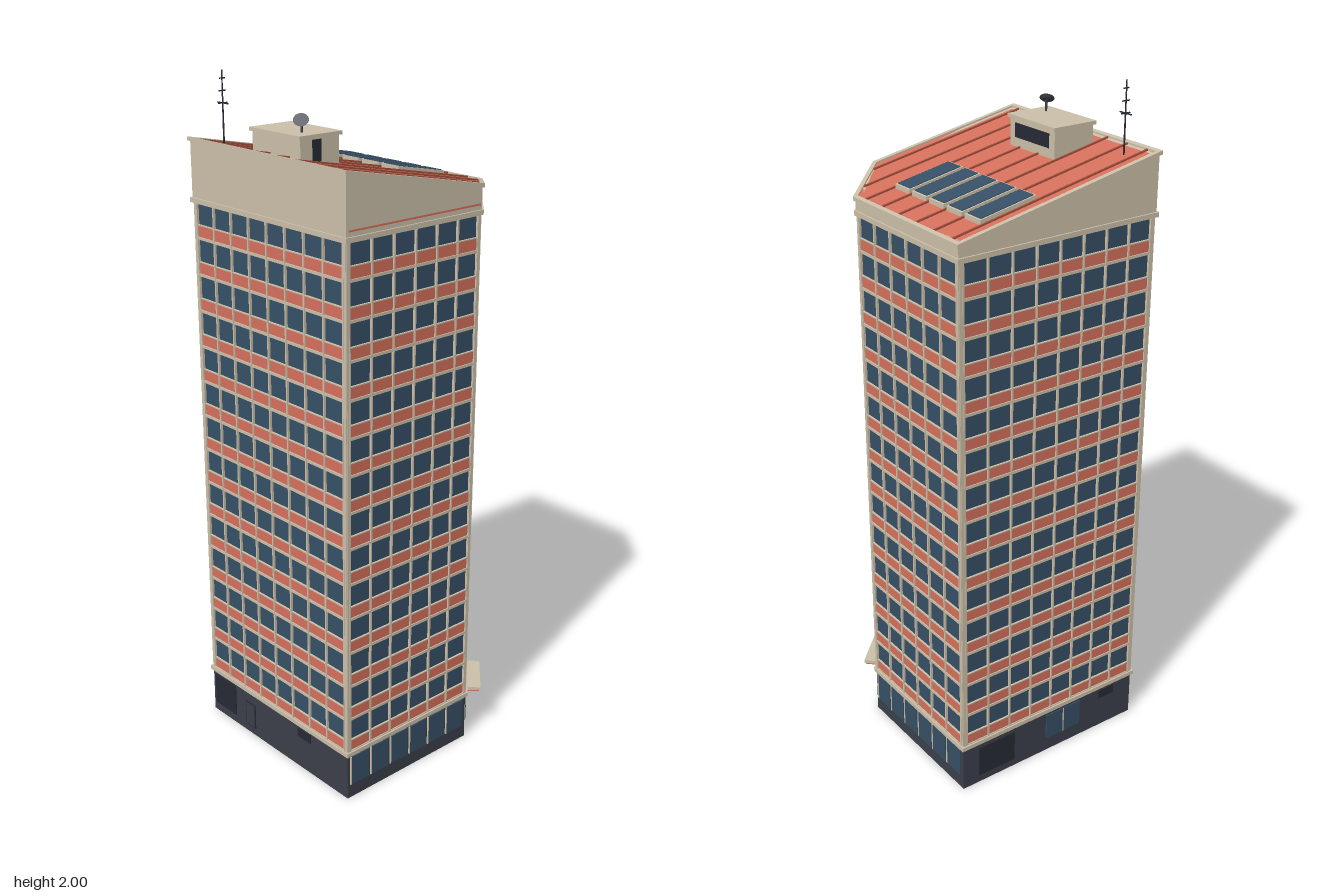
import * as THREE from 'three';

const mat = (name, color) => {
  const m = new THREE.MeshStandardMaterial({ color });
  m.name = name;
  return m;
};

export function createModel() {
  const model = new THREE.Group();
  model.name = 'officeTower';
  const cream = mat('cream', 0xcbbfa8), red = mat('terracotta', 0xd4705c), seamRed = mat('seamRed', 0xa8523f);
  const glass = mat('glass', 0x364f66), dark = mat('charcoal', 0x3b3f4a), black = mat('nearBlack', 0x262a33);

  const add = (parent, name, geo, material, x = 0, y = 0, z = 0) => {
    const m = new THREE.Mesh(geo, material);
    m.name = name;
    m.position.set(x, y, z);
    parent.add(m);
    return m;
  };
  const box = (parent, name, material, w, h, d, x, y, z) =>
    add(parent, name, new THREE.BoxGeometry(w, h, d), material, x, y, z);
  const group = (name, parent = model) => {
    const g = new THREE.Group();
    g.name = name;
    parent.add(g);
    return g;
  };

  // Footprint: a square with one corner cut off, grown outwards by e
  const outline = (e) => {
    const a = 0.32 + e, c = 0.16 + 0.414 * e;
    return [[-a, -a], [a, -a], [a, c], [c, a], [-a, a]].map(([x, y]) => new THREE.Vector2(x, y));
  };
  const roofY = (z) => 1.752 + 0.197 * z;
  // Upright prism on the footprint; bottom and top are heights given as functions of z
  const prism = (outer, inner, bottom, top) => {
    const s = new THREE.Shape(outline(outer));
    if (inner !== null) s.holes.push(new THREE.Path(outline(inner).reverse()));
    const g = new THREE.ExtrudeGeometry(s, { depth: 1, bevelEnabled: false }).rotateX(-Math.PI / 2);
    const p = g.attributes.position;
    for (let i = 0; i < p.count; i++) {
      const z = p.getZ(i);
      p.setY(i, p.getY(i) > 0.5 ? top(z) : bottom(z));
    }
    g.computeVertexNormals();
    return g;
  };
  const at = (y) => () => y;

  // Shell rings
  add(model, 'plinth', prism(0, -0.015, at(0), at(0.145)), dark);
  add(model, 'plinthLedge', prism(0.007, -0.015, at(0.143), at(0.156)), cream);
  add(model, 'fascia', prism(0.003, -0.015, at(1.645), (z) => roofY(z) - 0.002), cream);
  add(model, 'cornice', prism(0.008, -0.015, at(1.638), at(1.652)), cream);
  add(model, 'roofCoping', prism(0.009, -0.004, (z) => roofY(z) - 0.008, (z) => roofY(z) + 0.003), cream);
  add(model, 'roof', prism(-0.004, null, (z) => roofY(z) - 0.012, (z) => roofY(z) - 0.002), red);

  // Facades: local x runs along the wall, local z points outwards
  const floors = 14, y0 = 0.155, step = 1.49 / floors, pitch = 0.077;
  const facade = (name, x, z, angle, length) => {
    const g = group(name);
    g.position.set(x, 0, z);
    g.rotation.y = angle;
    g.userData.length = length;
    return g;
  };
  const front = facade('frontWall', 0, 0.32, 0, 0.64);
  const right = facade('leftSideWall', 0.32, 0.08, Math.PI / 2, 0.48);
  const corner = facade('cutCornerWall', 0.24, -0.24, Math.PI * 0.75, 0.226);
  const back = facade('backWall', -0.08, -0.32, Math.PI, 0.48);
  const left = facade('rightSideWall', -0.32, 0, -Math.PI / 2, 0.64);

  for (const [g, bays] of [[front, 8], [right, 6], [back, 6], [left, 8]]) {
    const len = g.userData.length, span = bays * pitch;
    for (let f = 0; f < floors; f++) {
      const y = y0 + f * step;
      box(g, 'windowBand', glass, len - 0.01, 0.068, 0.008, 0, y + 0.0725, -0.008);
      box(g, 'spandrel', red, len - 0.01, 0.034, 0.011, 0, y + 0.019, -0.0065);
      box(g, 'floorStrip', cream, len - 0.008, 0.008, 0.015, 0, y, -0.0055);
      box(g, 'windowSill', cream, len - 0.008, 0.003, 0.014, 0, y + 0.0375, -0.0055);
    }
    for (let i = 0; i <= bays; i++)
      box(g, 'mullion', cream, 0.005, 1.49, 0.014, -span / 2 + i * pitch, 0.9, -0.004);
    for (const s of [-1, 1])
      box(g, 'cornerPost', cream, 0.012, 1.49, 0.015, s * (len / 2 - 0.006), 0.9, -0.0055);
  }

  // Glazed curtain wall on the cut corner
  box(corner, 'curtainGlass', glass, 0.222, 1.49, 0.008, 0, 0.9, -0.006);
  for (const x of [-0.107, 0, 0.107])
    box(corner, 'curtainMullion', cream, x ? 0.01 : 0.005, 1.49, 0.013, x, 0.9, -0.004);
  for (let f = 0; f < floors; f++) {
    box(corner, 'transom', cream, 0.214, 0.004, 0.01, 0, y0 + f * step, -0.003);
    for (const x of [-0.054, 0.054])
      box(corner, 'curtainVent', black, 0.03, 0.005, 0.006, x, y0 + f * step + 0.037, -0.002);
  }

  // Entrance and canopy
  box(corner, 'entranceFrame', cream, 0.116, 0.115, 0.005, 0, 0.0775, 0.001);
  for (const s of [-1, 1]) box(corner, 'entranceDoor', glass, 0.048, 0.102, 0.005, s * 0.027, 0.074, 0.003);
  box(corner, 'canopy', cream, 0.157, 0.01, 0.05, 0, 0.147, 0.023);
  box(corner, 'canopyTrim', red, 0.15, 0.006, 0.044, 0, 0.139, 0.022);

  // Ground floor shop windows and service doors
  for (const g of [right, back]) {
    for (let i = 0; i < 6; i++) {
      const x = (i - 2.5) * pitch;
      box(g, 'shopWindow', glass, 0.066, 0.092, 0.006, x, 0.09, 0);
      box(g, 'shopWindowPost', cream, 0.004, 0.092, 0.008, x - 0.036, 0.09, 0);
    }
  }
  box(front, 'serviceGate', black, 0.104, 0.104, 0.005, -0.257, 0.08, 0);
  box(front, 'serviceGatePanel', glass, 0.094, 0.094, 0.005, -0.257, 0.08, 0.0005).material = black;
  box(front, 'frontDoorFrame', black, 0.045, 0.082, 0.005, -0.13, 0.066, 0);
  box(front, 'frontDoor', dark, 0.038, 0.075, 0.005, -0.13, 0.066, 0.001);
  box(front, 'vent', black, 0.058, 0.028, 0.006, 0.128, 0.118, 0);
  box(left, 'sideWindow', glass, 0.13, 0.085, 0.006, 0.05, 0.088, 0);
  box(left, 'sideWindowPost', cream, 0.004, 0.085, 0.008, 0.05, 0.088, 0);
  box(left, 'sideGate', black, 0.13, 0.1, 0.006, -0.2, 0.075, 0);
  box(left, 'sideVent', black, 0.058, 0.028, 0.006, 0.22, 0.118, 0);
  box(right, 'fasciaStripe', red, 0.47, 0.005, 0.003, 0, 1.667, 0.003);

  // Roof details sheared to the roof slope
  const onRoof = (name, material, w, h, d, x, lift, z) => {
    const g = new THREE.BoxGeometry(w, h, d).translate(x, lift, z);
    const p = g.attributes.position;
    for (let i = 0; i < p.count; i++) p.setY(i, p.getY(i) + roofY(p.getZ(i)));
    g.computeVertexNormals();
    add(model, name, g, material);
  };
  for (let i = 0; i < 8; i++) {
    const x = -0.284 + i * 0.081, z0 = Math.max(-0.314, x - 0.472);
    onRoof('roofSeam', seamRed, 0.005, 0.006, 0.314 - z0, x, 0, (0.314 + z0) / 2);
  }
  for (let i = 0; i < 5; i++) {
    const x = -0.243 + i * 0.081;
    onRoof('skylightFrame', cream, 0.068, 0.014, 0.174, x, 0.004, -0.137);
    onRoof('skylightGlass', glass, 0.059, 0.003, 0.164, x, 0.0115, -0.137);
  }

  // Plant room
  const plant = group('plantRoom');
  box(plant, 'plantRoomBody', cream, 0.198, 0.1, 0.132, -0.015, 1.805, 0.202);
  box(plant, 'plantRoomCap', cream, 0.21, 0.01, 0.145, -0.015, 1.86, 0.202);
  box(plant, 'plantRoomDoor', black, 0.004, 0.058, 0.03, 0.084, 1.822, 0.213);
  box(plant, 'plantRoomLouvre', black, 0.15, 0.04, 0.004, -0.015, 1.824, 0.136);

  // Satellite dish
  const dish = group('satelliteDish');
  add(dish, 'dishStand', new THREE.CylinderGeometry(0.003, 0.003, 0.035, 8), dark, 0.045, 1.88, 0.23);
  const bowl = add(dish, 'dishBowl', new THREE.CylinderGeometry(0.021, 0.012, 0.007, 16), dark, 0.05, 1.897, 0.236);
  bowl.quaternion.setFromUnitVectors(new THREE.Vector3(0, 1, 0), new THREE.Vector3(0.5, 0.7, 0.5).normalize());

  // Antenna mast
  const mast = group('antenna');
  add(mast, 'mast', new THREE.CylinderGeometry(0.0018, 0.0025, 0.205, 8), black, -0.25, 1.8975, 0.262);
  box(mast, 'crossBar', black, 0.046, 0.003, 0.003, -0.25, 1.912, 0.262);
  for (const [y, w] of [[1.912, 0.03], [1.945, 0.024], [1.978, 0.018]])
    box(mast, 'antennaBar', black, 0.003, 0.003, w, -0.25, y, 0.262);

  return model;
}
